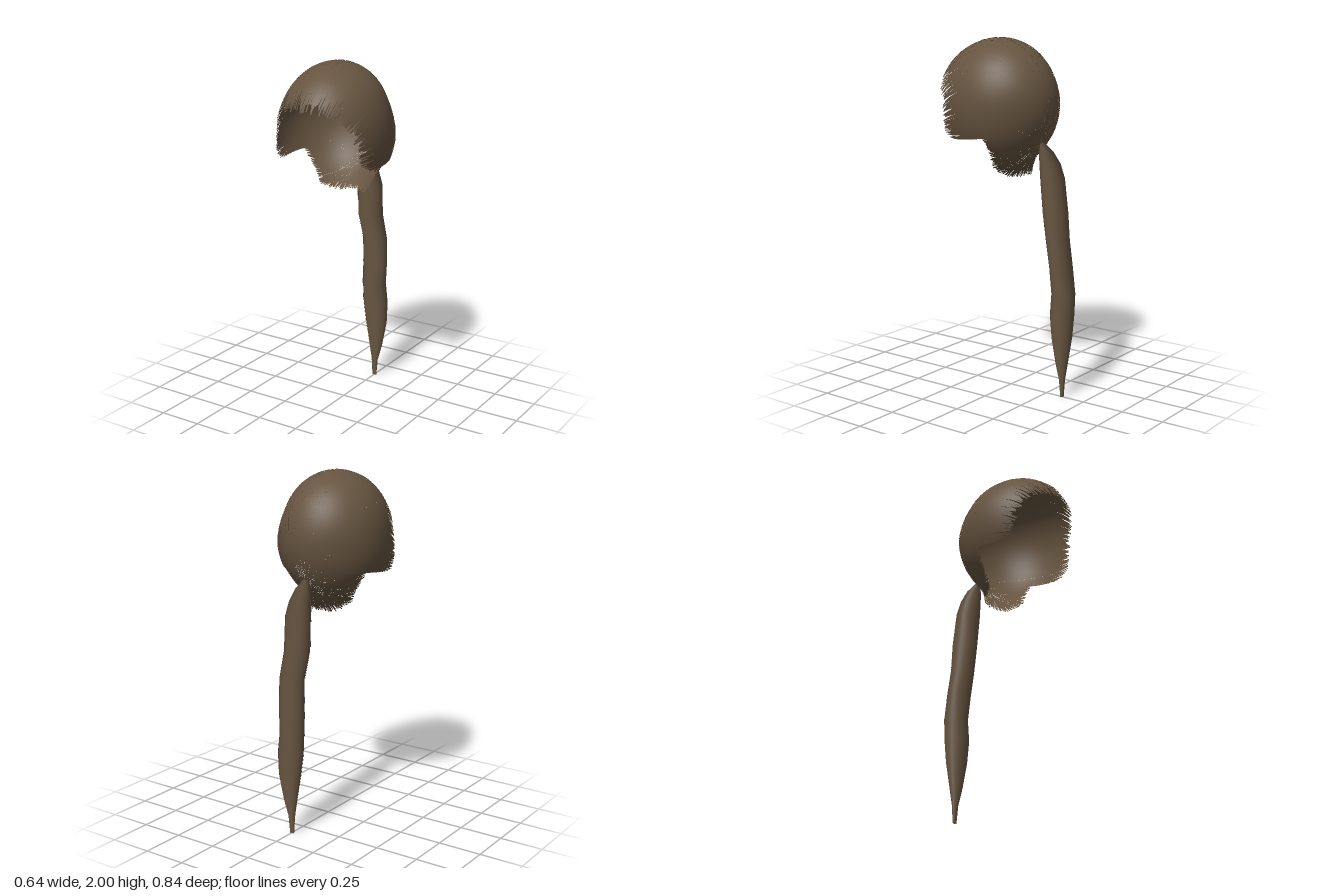
import * as THREE from 'three';

const V = (x, y, z) => new THREE.Vector3(x, y, z);
const { lerp, clamp, smoothstep } = THREE.MathUtils;
const hairBrown = new THREE.MeshStandardMaterial({ color: 0x665440, side: THREE.DoubleSide });
hairBrown.name = 'hairBrown';

// Scalp: an ellipsoid with its own radii above/below and in front/behind,
// narrowing in x towards the crown
const centre = V(0, 1.66, 0.07);
const radii = (d) => V(0.325, d.y > 0 ? 0.34 : 0.4, d.z > 0 ? 0.375 : 0.338);
const crownWidth = (y) => 1 - 0.14 * smoothstep(y, 1.54, 1.82);
function toUnit(p) {
  const d = p.clone().sub(centre);
  d.x /= crownWidth(p.y);
  return d.divide(radii(d));
}
const knot = toUnit(V(0, 1.42, -0.22)).normalize();

// Hairline from the fringe to the nape (left half): strand end, and the
// direction each strand is pulled towards on its way from the knot
const hairline = [
  [V(0, 1.785, 0.42), V(0, 1.4, -0.3)],
  [V(0.11, 1.775, 0.395), V(0.35, 1.3, -0.3)],
  [V(0.2, 1.735, 0.335), V(0.7, 1, -0.4)],
  [V(0.25, 1.63, 0.285), V(0.8, 0.5, -0.6)],
  [V(0.275, 1.49, 0.245), V(0.75, -0.05, -0.65)],
  [V(0.29, 1.45, 0.16), V(0.7, -0.25, -0.65)],
  [V(0.28, 1.5, 0.03), V(0.65, -0.3, -0.7)],
  [V(0.21, 1.39, 0), null],
  [V(0.15, 1.28, 0), null],
  [V(0.09, 1.24, -0.08), null],
  [V(0, 1.25, -0.12), null],
].map(([end, pull]) => {
  const e = toUnit(end);
  return [e, pull || e.clone().add(knot).multiplyScalar(0.5)];
});
const endCurve = new THREE.CatmullRomCurve3(hairline.map((h) => h[0]), false, 'catmullrom', 0.5);
const pullCurve = new THREE.CatmullRomCurve3(hairline.map((h) => h[1]), false, 'catmullrom', 0.5);

function seeded(seed) {
  let s = seed;
  return () => (s = (s * 16807) % 2147483647) / 2147483647;
}

// Point and normal on the strand u (-1..1 around the hairline) at t (0 knot, 1 tip)
function strandPoint(u, t, scale) {
  const k = Math.min(Math.abs(u), 1);
  const end = endCurve.getPoint(k);
  const d = knot.clone().multiplyScalar((1 - t) ** 2)
    .addScaledVector(pullCurve.getPoint(k), 2 * t * (1 - t))
    .addScaledVector(end, t * t).normalize();
  if (u < 0) d.x *= -1;
  const r = radii(d);
  const p = d.clone().multiply(r).multiplyScalar(lerp(1, end.length(), t ** 3) * scale).add(centre);
  p.x *= crownWidth(p.y);
  return { p, n: d.divide(r).normalize() };
}

// Full layer of side-by-side strands with uneven tips; depths may vary per strand
function strandLayer(count, steps, scale, depthJitter, raggedness, seed) {
  const rand = seeded(seed);
  const pos = [], nor = [], idx = [];
  for (let i = 0; i < count; i++) {
    const u0 = -1 + (2 * i) / count, width = 2 / count;
    const length = 1.02 - raggedness * rand();
    const lean = (rand() - 0.5) * width;
    const depth = scale - depthJitter * rand();
    for (let j = 0; j <= steps; j++) {
      const s = j / steps;
      const tip = smoothstep(s, 0.85, 1);
      for (const side of [0, 1]) {
        const across = lerp(side, 0.5, tip * 0.4);
        const u = clamp(u0 + width * across + lean * tip, -1, 1);
        const { p, n } = strandPoint(u, s * length, depth);
        pos.push(p.x, p.y, p.z);
        nor.push(n.x, n.y, n.z);
      }
      if (j < steps) {
        const a = (i * (steps + 1) + j) * 2;
        idx.push(a, a + 2, a + 1, a + 1, a + 2, a + 3);
      }
    }
  }
  const g = new THREE.BufferGeometry();
  g.setAttribute('position', new THREE.Float32BufferAttribute(pos, 3));
  g.setAttribute('normal', new THREE.Float32BufferAttribute(nor, 3));
  g.setIndex(idx);
  return g;
}

// Ponytail: overlapping lengthwise strips around wavy, tapering oval sections
function ponytailGeometry(strips) {
  // [y, x min, x max, z front, z back]
  const sections = [
    [1.43, -0.015, 0.015, -0.2, -0.225],
    [1.38, -0.045, 0.045, -0.2, -0.28],
    [1.32, -0.062, 0.062, -0.207, -0.322],
    [1.24, -0.075, 0.075, -0.217, -0.348],
    [1.05, -0.08, 0.07, -0.23, -0.37],
    [0.9, -0.065, 0.085, -0.265, -0.39],
    [0.75, -0.075, 0.08, -0.285, -0.405],
    [0.6, -0.08, 0.065, -0.29, -0.42],
    [0.48, -0.075, 0.08, -0.29, -0.42],
    [0.35, -0.06, 0.075, -0.305, -0.412],
    [0.2, -0.035, 0.047, -0.325, -0.39],
    [0.1, -0.02, 0.02, -0.34, -0.372],
    [0, -0.015, 0.012, -0.348, -0.364],
  ];
  const rand = seeded(23);
  const pos = [], nor = [], idx = [];
  for (let i = 0; i < strips; i++) {
    const depth = 1 - 0.06 * rand();
    const overlap = 0.3 + 0.5 * rand();
    sections.forEach(([y, x0, x1, z0, z1], j) => {
      const rx = (x1 - x0) / 2, rz = (z0 - z1) / 2;
      for (const side of [-overlap, 1 + overlap]) {
        const a = ((i + side) / strips) * Math.PI * 2;
        const n = V(Math.cos(a) / rx, 0, Math.sin(a) / rz).normalize();
        pos.push((x0 + x1) / 2 + Math.cos(a) * depth * rx, y, (z0 + z1) / 2 + Math.sin(a) * depth * rz);
        nor.push(n.x, n.y, n.z);
      }
      if (j < sections.length - 1) {
        const p = (i * sections.length + j) * 2;
        idx.push(p, p + 1, p + 2, p + 1, p + 3, p + 2);
      }
    });
  }
  const g = new THREE.BufferGeometry();
  g.setAttribute('position', new THREE.Float32BufferAttribute(pos, 3));
  g.setAttribute('normal', new THREE.Float32BufferAttribute(nor, 3));
  g.setIndex(idx);
  return g;
}

export function createModel() {
  const group = new THREE.Group();
  group.name = 'ponytailHair';
  const add = (name, geometry) => {
    const mesh = new THREE.Mesh(geometry, hairBrown);
    mesh.name = name;
    group.add(mesh);
  };
  add('outerStrands', strandLayer(240, 24, 1, 0.004, 0.06, 11));
  add('innerStrands', strandLayer(200, 24, 0.985, 0.035, 0.09, 57));
  add('ponytail', ponytailGeometry(40));
  return group;
}
